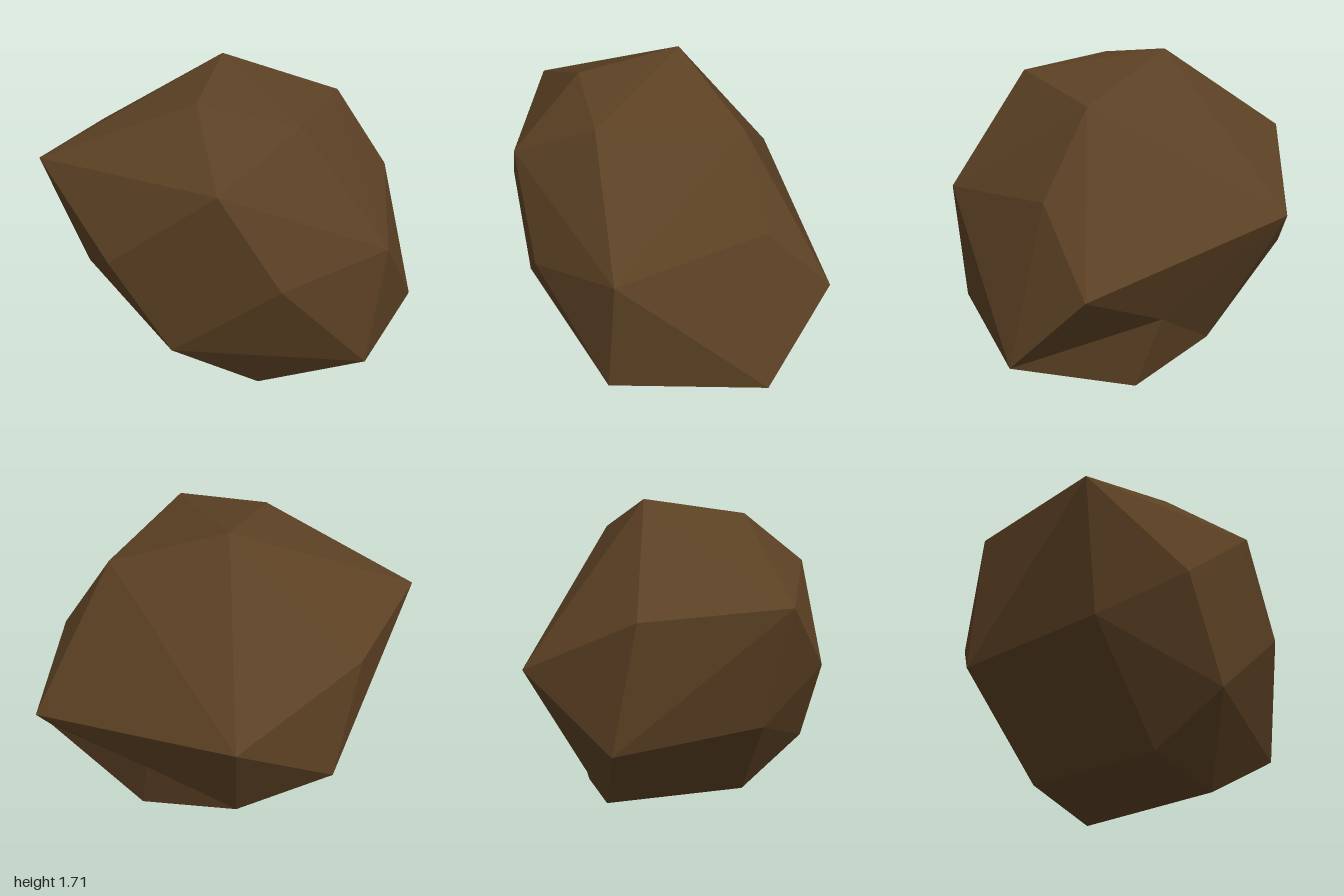
import * as THREE from 'three';
import { ConvexGeometry } from 'three/addons/geometries/ConvexGeometry.js';

const hull = (points) => new ConvexGeometry(points.map((p) => new THREE.Vector3(...p)));

export function createModel() {
  const rock = new THREE.Group();
  rock.name = 'rock';
  const stone = new THREE.MeshStandardMaterial({ color: 0x5c4124 });
  stone.name = 'brown stone';

  // Corners shared by the boulder and its foot
  const rim = [
    [1.0, 0.265, -0.09], [0.3, 0.4, -0.47], [-0.19, 0.09, -0.39],
    [-0.33, 0.135, 0.34], [0.12, 0.035, 0.47], [0.67, 0.33, 0.65],
  ];
  // Top ridge
  const crown = [
    [-0.09, 1.705, -0.14], [-1.0, 1.285, 0.28], [-0.19, 1.625, 0.38],
    [0.31, 1.57, 0.51], [0.52, 1.5, -0.175],
  ];
  // Front and side corners
  const front = [
    [-0.07, 1.34, 0.79], [-0.62, 0.89, 0.64], [0.23, 0.86, 0.83],
    [0.74, 0.99, 0.63], [0.8, 1.08, -0.15], [-0.32, 0.405, 0.69], [-0.8, 0.66, 0.24],
  ];
  // Back corners
  const back = [
    [0.885, 0.7, -0.505], [-0.26, 0.9, -0.83], [-0.79, 1.22, -0.395], [-0.71, 0.56, -0.5],
  ];

  const boulder = new THREE.Mesh(hull([...crown, ...front, ...back, ...rim]), stone);
  boulder.name = 'boulder';

  // Foot: the lowest corner, leaving a shallow recess under the back overhang
  const foot = new THREE.Mesh(hull([...rim, [0.37, 0.0, -0.35]]), stone);
  foot.name = 'foot';

  rock.add(boulder, foot);
  return rock;
}
